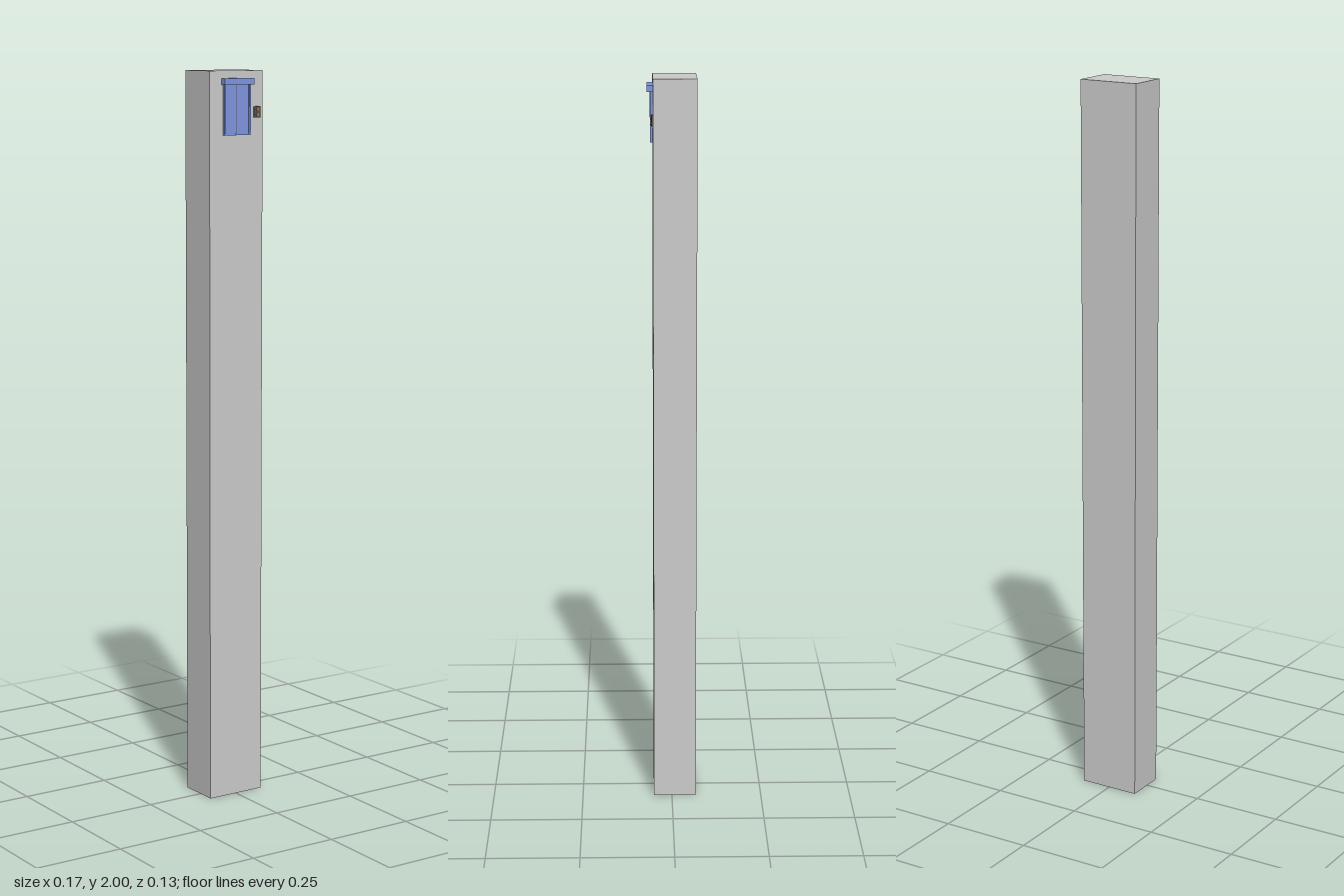
import * as THREE from 'three';

export function createModel() {
  const model = new THREE.Group();
  model.name = 'elevatorShaft';

  const grey = new THREE.MeshStandardMaterial({ color: 0xcccccc });
  const blue = new THREE.MeshStandardMaterial({ color: 0x7f96e0 });
  const dark = new THREE.MeshStandardMaterial({ color: 0x555560 });
  const amber = new THREE.MeshStandardMaterial({ color: 0xb07a40 });

  // Box given by its limits on each axis
  function box(name, parent, material, [x0, x1], [y0, y1], [z0, z1]) {
    const mesh = new THREE.Mesh(new THREE.BoxGeometry(x1 - x0, y1 - y0, z1 - z0), material);
    mesh.position.set((x0 + x1) / 2, (y0 + y1) / 2, (z0 + z1) / 2);
    mesh.name = name;
    parent.add(mesh);
    return mesh;
  }

  const wall = 0.05; // front face of the shaft

  // Tall plain shaft
  box('shaft', model, grey, [-0.085, 0.085], [0, 2], [-0.067, wall]);

  // Double door with jambs, sill and projecting lintel
  const door = new THREE.Group();
  door.name = 'door';
  model.add(door);
  for (const side of [-1, 1]) {
    const span = (a, b) => (side > 0 ? [a, b] : [-b, -a]);
    const label = side > 0 ? 'left' : 'right';
    box(label + 'DoorLeaf', door, blue, span(0.0006, 0.037), [1.834, 1.963], [wall, 0.053]);
    box(label + 'Jamb', door, blue, span(0.037, 0.042), [1.83, 1.963], [wall, 0.057]);
  }
  box('doorSeam', door, dark, [-0.0006, 0.0006], [1.834, 1.963], [wall, 0.0524]);
  box('sill', door, blue, [-0.037, 0.037], [1.83, 1.834], [wall, 0.055]);
  box('lintel', door, blue, [-0.047, 0.047], [1.963, 1.98], [wall, 0.066]);

  // Call panel beside the door with two buttons
  const panel = new THREE.Group();
  panel.name = 'callPanel';
  model.add(panel);
  box('panelPlate', panel, dark, [0.055, 0.075], [1.875, 1.905], [wall, 0.054]);
  for (const y of [1.883, 1.897]) {
    const button = new THREE.Mesh(new THREE.CylinderGeometry(0.004, 0.004, 0.003, 16), amber);
    button.rotation.x = Math.PI / 2;
    button.position.set(0.065, y, 0.0555);
    button.name = 'callButton';
    panel.add(button);
  }

  return model;
}
